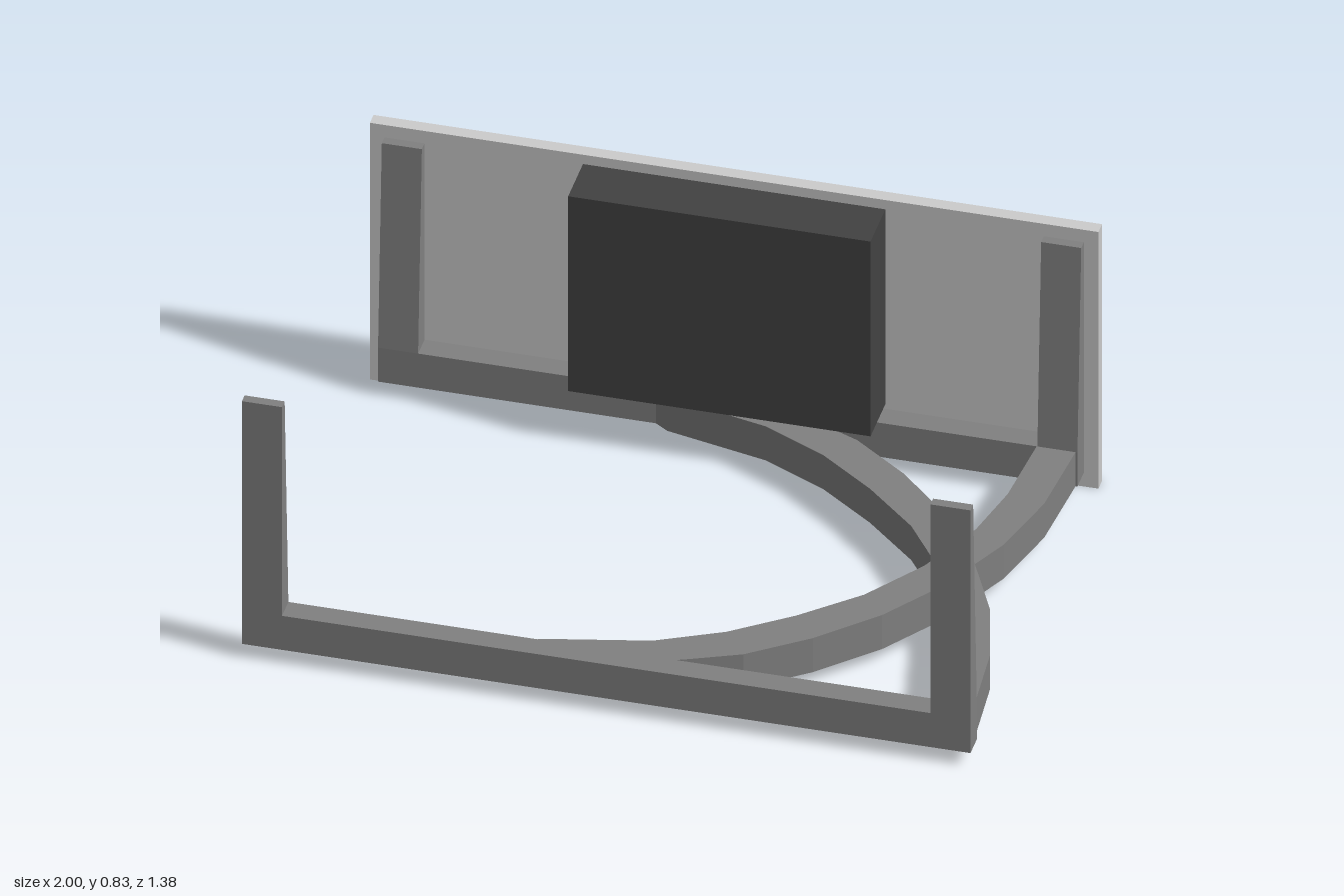
import * as THREE from 'three';

const BOTTOM = 0.045, BAR_TOP = 0.155;
const material = (color) => new THREE.MeshStandardMaterial({ color, flatShading: true });

function extrude(points, depth) {
  const shape = new THREE.Shape(points.map(([x, y]) => new THREE.Vector2(x, y)));
  return new THREE.ExtrudeGeometry(shape, { depth, bevelEnabled: false });
}

function addMesh(parent, name, geometry, mat) {
  const mesh = new THREE.Mesh(geometry, mat);
  mesh.name = name;
  parent.add(mesh);
  return mesh;
}

// Box given by its lower and upper corners
function addBox(parent, name, a, b, mat) {
  const mesh = addMesh(parent, name, new THREE.BoxGeometry(b[0] - a[0], b[1] - a[1], b[2] - a[2]), mat);
  mesh.position.set((a[0] + b[0]) / 2, (a[1] + b[1]) / 2, (a[2] + b[2]) / 2);
}

// U-shaped frame: a floor bar with two posts that taper on their inner side
function addFrame(parent, name, halfWidth, outerZ, height, mat) {
  const frame = new THREE.Group();
  frame.name = name;
  parent.add(frame);
  const s = Math.sign(outerZ), innerZ = outerZ - s * 0.067, postWidth = 0.11;
  addBox(frame, 'floorBar', [-halfWidth, BOTTOM, Math.min(outerZ, innerZ)],
    [halfWidth, BAR_TOP, Math.max(outerZ, innerZ)], mat);
  for (const side of [-1, 1]) {
    const geometry = extrude([
      [outerZ, BAR_TOP], [innerZ, BAR_TOP], [outerZ - s * 0.028, height], [outerZ, height],
    ], postWidth);
    geometry.translate(0, 0, -postWidth / 2).rotateY(-Math.PI / 2);
    const post = addMesh(frame, side > 0 ? 'leftPost' : 'rightPost', geometry, mat);
    post.position.x = side * (halfWidth - postWidth / 2);
  }
}

// Curved floor brace seen from above, as [x, z] outline
const braceOutline = [
  [0.85, -0.61], [0.83, -0.35], [0.79, -0.17], [0.70, 0.03], [0.58, 0.20], [0.43, 0.34],
  [0.27, 0.46], [0.09, 0.55], [-0.20, 0.617], [-0.24, 0.645], [0.10, 0.645],
  [0.19, 0.615], [0.34, 0.55], [0.50, 0.43], [0.65, 0.28], [0.77, 0.11],
  [0.88, -0.12], [0.935, -0.33], [0.957, -0.61],
];

function addBrace(parent, name, outline, mat) {
  const geometry = extrude(outline, BAR_TOP - BOTTOM).rotateX(Math.PI / 2);
  addMesh(parent, name, geometry, mat).position.y = BAR_TOP;
}

export function createModel() {
  const model = new THREE.Group();
  const frameMat = material(0x808080);

  addFrame(model, 'frontFrame', 1, 0.688, 0.83, frameMat);
  addFrame(model, 'rearFrame', 0.96, -0.65, 0.79, frameMat);

  // Two crossing braces, the second a shifted mirror of the first
  addBrace(model, 'rearToFrontBrace', braceOutline, frameMat);
  addBrace(model, 'frontToRearBrace', braceOutline.map(([x, z]) => [x + 0.04, 0.06 - z]), frameMat);

  // Back panel with the dark unit mounted on its front
  addBox(model, 'backPanel', [-1, 0, -0.688], [1, 0.83, -0.65], material(0xcccccc));
  addBox(model, 'mountedBox', [-0.415, 0.17, -0.65], [0.415, 0.80, -0.495], material(0x424242));

  return model;
}
